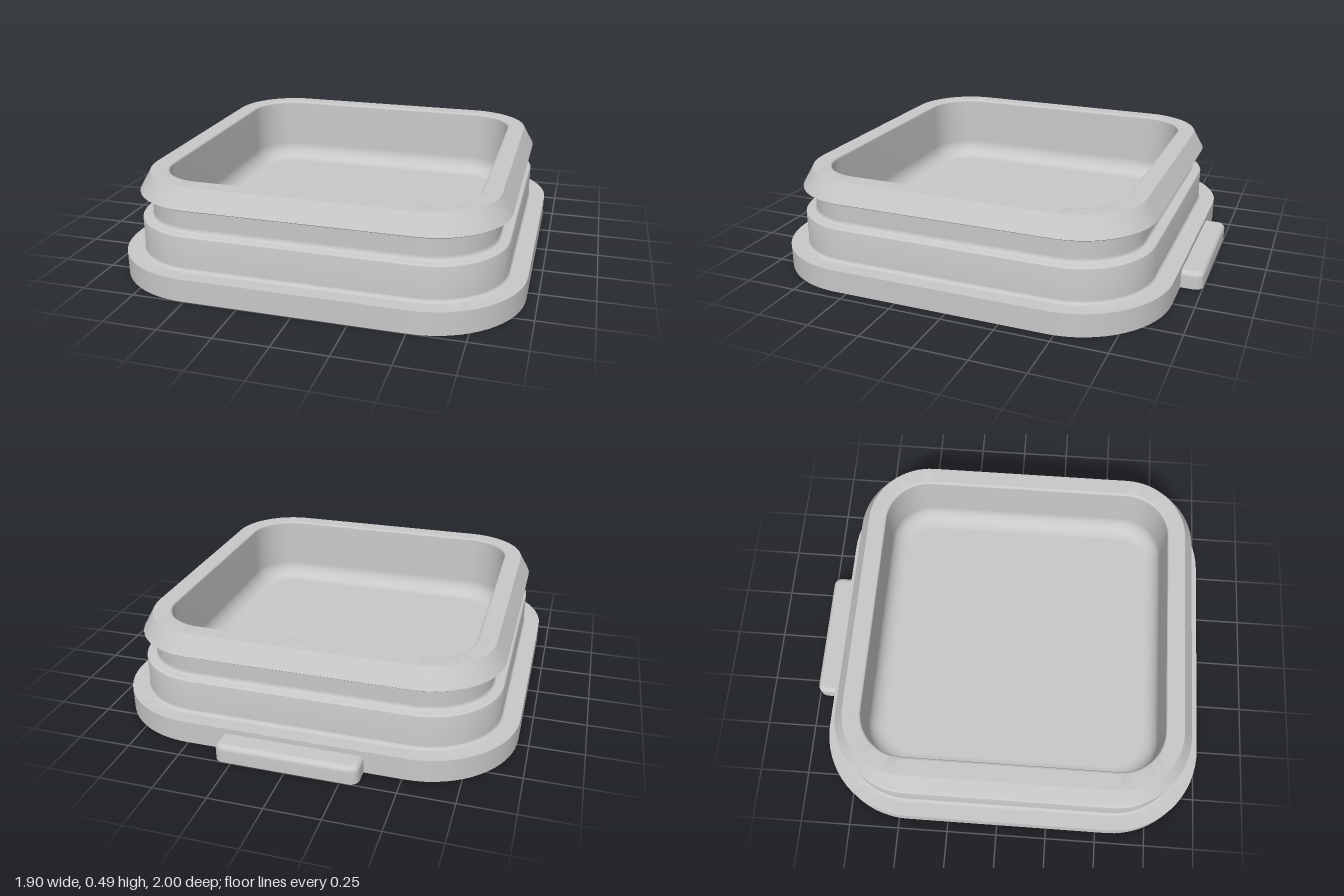
import * as THREE from 'three';
import { toCreasedNormals } from 'three/addons/utils/BufferGeometryUtils.js';

const CORNER_STEPS = 16;

// Rounded rectangle: a core rectangle (half sizes cx, cz) grown outward by r
function outline(cx, cz, r) {
  const pts = [];
  [[1, 1], [-1, 1], [-1, -1], [1, -1]].forEach(([sx, sz], q) => {
    for (let k = 0; k <= CORNER_STEPS; k++) {
      const t = (q + k / CORNER_STEPS) * Math.PI / 2;
      pts.push(new THREE.Vector2(sx * cx + r * Math.cos(t), sz * cz + r * Math.sin(t)));
    }
  });
  return pts;
}

// Add support points near the ends of long profile segments, so flats stay flat-shaded
function withSupports(profile) {
  const out = [profile[0]];
  for (let i = 1; i < profile.length; i++) {
    const [r0, y0] = profile[i - 1], [r1, y1] = profile[i];
    const length = Math.hypot(r1 - r0, y1 - y0);
    if (length > 0.03) {
      for (const f of [0.003 / length, 1 - 0.003 / length]) out.push([r0 + (r1 - r0) * f, y0 + (y1 - y0) * f]);
    }
    out.push(profile[i]);
  }
  return out;
}

// Sweep a profile of [r, y] points around the core rectangle
function sweep(cx, cz, points) {
  const profile = withSupports(points);
  const pos = [], index = [];
  const n = 4 * (CORNER_STEPS + 1);
  for (const [r, y] of profile) for (const p of outline(cx, cz, r)) pos.push(p.x, y, p.y);
  for (let i = 0; i < profile.length - 1; i++) {
    for (let j = 0; j < n; j++) {
      const a = i * n + j, b = i * n + (j + 1) % n;
      index.push(a, a + n, b, b, a + n, b + n);
    }
  }
  const g = new THREE.BufferGeometry();
  g.setAttribute('position', new THREE.Float32BufferAttribute(pos, 3));
  g.setIndex(index);
  return toCreasedNormals(g, 0.5);
}

// Flat cap with optional holes, facing up or down
function cap(cx, cz, r, y, up, holes = []) {
  const shape = new THREE.Shape(outline(cx, cz, r));
  for (const [x, radius] of holes) {
    shape.holes.push(new THREE.Path().absarc(x, 0, radius, 0, Math.PI * 2, true));
  }
  return new THREE.ShapeGeometry(shape, 24).rotateX(up ? -Math.PI / 2 : Math.PI / 2).translate(0, y, 0);
}

// Arc of profile points about a centre, from angle a to b in degrees
function arc(r, y, radius, a, b, steps = 5) {
  return Array.from({ length: steps + 1 }, (_, k) => {
    const t = THREE.MathUtils.degToRad(a + (b - a) * k / steps);
    return [r + radius * Math.cos(t), y + radius * Math.sin(t)];
  });
}

export function createModel() {
  const model = new THREE.Group();
  model.name = 'squareCap';
  const grey = new THREE.MeshStandardMaterial({ color: 0xc8c8c8, side: THREE.DoubleSide });
  grey.name = 'grey';
  const add = (parent, name, geometry) => {
    const mesh = new THREE.Mesh(geometry, grey);
    mesh.name = name;
    parent.add(mesh);
  };

  const body = new THREE.Group();
  body.name = 'body';
  body.position.z = 0.05;
  model.add(body);
  const core = 0.51;

  // Flange, collar, neck and flared lip
  add(body, 'outerWall', sweep(core, core, [
    [0.44, 0], [0.44, 0.108],
    ...arc(0.37, 0.123, 0.015, 270, 180),
    ...arc(0.345, 0.265, 0.01, 0, 90),
    ...arc(0.32, 0.29, 0.015, 270, 180),
    [0.305, 0.393], [0.35, 0.393], [0.357, 0.398], [0.306, 0.488],
  ]));

  // Rim and the open tray with a rounded foot
  const wall = 0.218, floorY = 0.146, fillet = 0.085;
  add(body, 'trayWall', sweep(core, core, [
    [0.306, 0.488],
    ...arc(wall + 0.01, 0.478, 0.01, 90, 180),
    ...arc(wall - fillet, floorY + fillet, fillet, 0, -90, 8),
  ]));
  add(body, 'trayFloor', cap(core, core, wall - fillet, floorY, true));

  // Underside with two blind holes
  const holeX = 0.59, holeR = 0.06, holeDepth = 0.09;
  add(body, 'underside', cap(core, core, 0.44, 0, false, [[-holeX, holeR], [holeX, holeR]]));
  for (const side of [-1, 1]) {
    const hole = new THREE.Group();
    hole.name = side > 0 ? 'leftHole' : 'rightHole';
    hole.position.x = side * holeX;
    body.add(hole);
    add(hole, 'holeWall', new THREE.CylinderGeometry(holeR, holeR, holeDepth, 24, 1, true).translate(0, holeDepth / 2, 0));
    add(hole, 'holeEnd', new THREE.CircleGeometry(holeR, 24).rotateX(Math.PI / 2).translate(0, holeDepth, 0));
  }

  // Pull tab at the back, its front half sunk into the flange
  const tab = new THREE.Group();
  tab.name = 'pullTab';
  tab.position.z = -0.9;
  model.add(tab);
  add(tab, 'tabWall', sweep(0.29, 0.06, [[0.04, 0], ...arc(0.016, 0.059, 0.024, 0, 90)]));
  add(tab, 'tabTop', cap(0.29, 0.06, 0.016, 0.083, true));
  add(tab, 'tabUnderside', cap(0.29, 0.06, 0.04, 0, false));

  return model;
}
